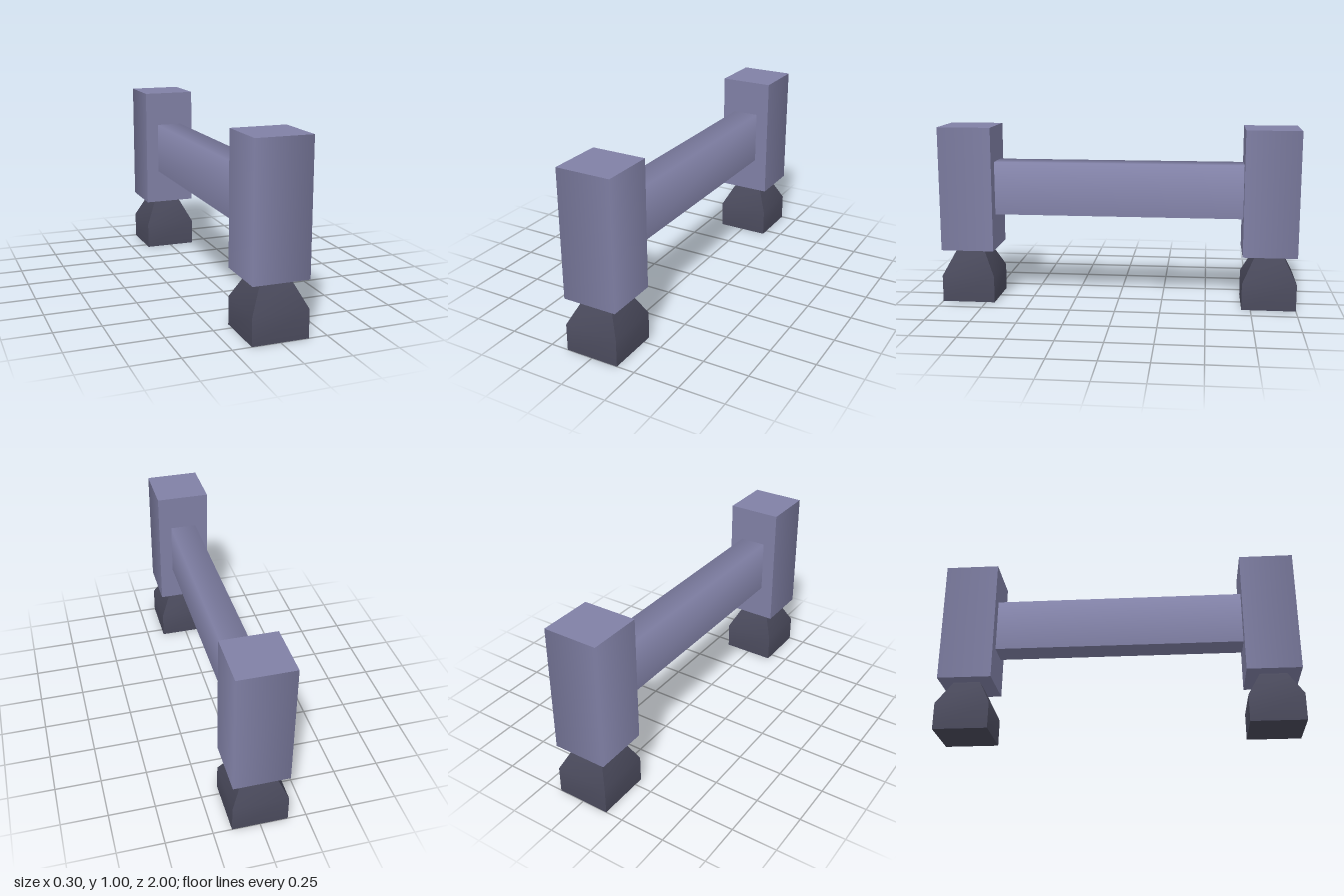
import * as THREE from 'three';
import { toCreasedNormals } from 'three/addons/utils/BufferGeometryUtils.js';

// Box whose face towards `out` shades smoothly into its two x sides; other edges stay sharp.
function softBox(w, h, d, out) {
  const geo = new THREE.BoxGeometry(w, h, d);
  const pos = geo.attributes.position, nor = geo.attributes.normal;
  const p = new THREE.Vector3(), n = new THREE.Vector3();
  for (let i = 0; i < pos.count; i++) {
    p.fromBufferAttribute(pos, i);
    n.fromBufferAttribute(nor, i);
    if (n.dot(out) > 0.5) n.x += Math.sign(p.x);
    else if (Math.abs(n.x) > 0.5 && p.dot(out) > 0) n.add(out);
    n.normalize();
    nor.setXYZ(i, n.x, n.y, n.z);
  }
  return geo;
}

// Square block whose upper half tapers to half width.
function footGeometry() {
  const geo = new THREE.BoxGeometry(0.3, 0.3, 0.3, 1, 2, 1);
  const pos = geo.attributes.position;
  for (let i = 0; i < pos.count; i++) {
    if (pos.getY(i) > 0.1) {
      pos.setX(i, pos.getX(i) * 0.5);
      pos.setZ(i, pos.getZ(i) * 0.5);
    }
  }
  return toCreasedNormals(geo, Math.PI / 6);
}

export function createModel() {
  const model = new THREE.Group();
  model.name = 'barrier';

  const frame = new THREE.MeshStandardMaterial({ color: 0x8080a5 });
  frame.name = 'slate violet';
  const dark = new THREE.MeshStandardMaterial({ color: 0x4a4a5c });
  dark.name = 'dark slate';

  const add = (parent, geo, mat, name, y, z = 0) => {
    const mesh = new THREE.Mesh(geo, mat);
    mesh.name = name;
    mesh.position.set(0, y, z);
    parent.add(mesh);
  };

  // Crossbar between the posts
  add(model, softBox(0.15, 0.3, 1.4, new THREE.Vector3(0, 1, 0)), frame, 'crossbar', 0.65);

  // A post on a tapered foot at each end
  const postGeo = softBox(0.3, 0.7, 0.3, new THREE.Vector3(0, 0, 1));
  const footGeo = footGeometry();
  footGeo.translate(0, 0.15, 0);
  for (const side of ['front', 'back']) {
    const end = new THREE.Group();
    end.name = side + 'End';
    add(end, postGeo, frame, side + 'Post', 0.65, 0.85);
    add(end, footGeo, dark, side + 'Foot', 0, 0.85);
    if (side === 'back') end.rotation.y = Math.PI;
    model.add(end);
  }

  // Place the lower block of each foot slightly taller than half: shoulder at y = 0.15
  return model;
}
